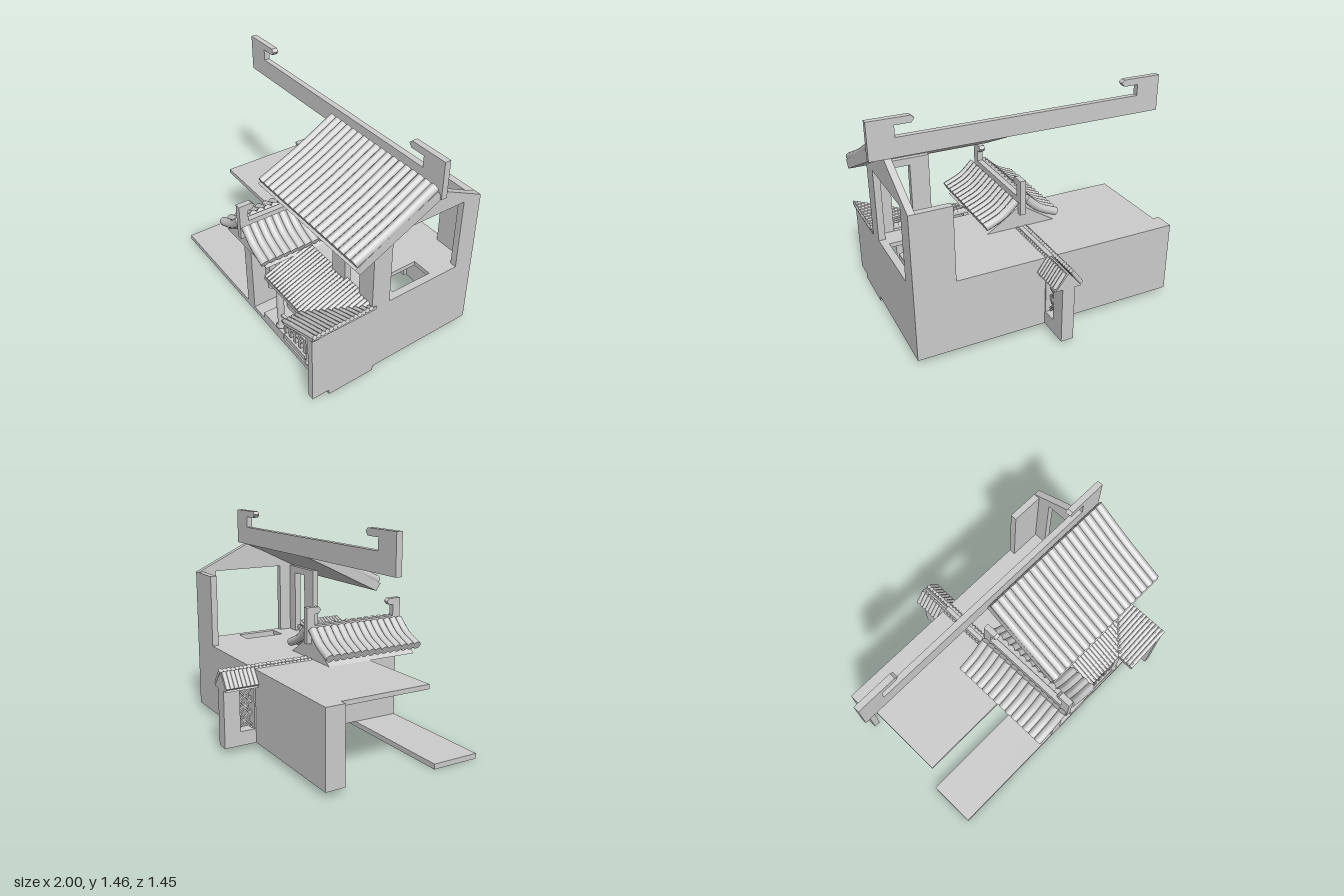
import * as THREE from 'three';

const material = new THREE.MeshStandardMaterial({ color: 0xcccccc, side: THREE.DoubleSide });

export function createModel() {
  const root = new THREE.Group();

  const add = (name, geo, parent = root) => {
    const m = new THREE.Mesh(geo, material);
    m.name = name;
    parent.add(m);
    return m;
  };
  const group = (name) => {
    const g = new THREE.Group();
    g.name = name;
    root.add(g);
    return g;
  };
  // Box given by its limits
  const box = (name, x0, x1, y0, y1, z0, z1, parent) =>
    add(name, new THREE.BoxGeometry(x1 - x0, y1 - y0, z1 - z0)
      .translate((x0 + x1) / 2, (y0 + y1) / 2, (z0 + z1) / 2), parent);
  const extrude = (pts, depth, holes = []) => {
    const v = (list) => list.map(([a, b]) => new THREE.Vector2(a, b));
    const s = new THREE.Shape(v(pts));
    holes.forEach((h) => s.holes.push(new THREE.Path(v(h))));
    return new THREE.ExtrudeGeometry(s, { depth, bevelEnabled: false });
  };
  const rect = (a0, a1, b0, b1) => [[a0, b0], [a1, b0], [a1, b1], [a0, b1]];
  // Profiles in z-y, x-y and x-z, pushed along the remaining axis
  const alongX = (pts, x0, x1, holes) => extrude(pts, x1 - x0, holes).rotateY(-Math.PI / 2).translate(x1, 0, 0);
  const alongZ = (pts, z0, z1, holes) => extrude(pts, z1 - z0, holes).translate(0, 0, z0);
  const alongY = (pts, y0, y1, holes) => extrude(pts, y1 - y0, holes).rotateX(Math.PI / 2).translate(0, y1, 0);

  // Round tile bent along a curve in the z-y plane (axis 'x') or x-y plane (axis 'z')
  const tile = (axis, at, pts, r, parent) => {
    const curve = new THREE.SplineCurve(pts.map(([a, b]) => new THREE.Vector2(a, b)));
    const geo = new THREE.CylinderGeometry(r, r, 1, 12, pts.length > 2 ? 8 : 1);
    const p = geo.attributes.position;
    for (let i = 0; i < p.count; i++) {
      const t = p.getY(i) + 0.5, s = p.getX(i), n = p.getZ(i);
      const c = curve.getPoint(t), d = curve.getTangent(t);
      if (axis === 'x') p.setXYZ(i, at + s, c.y + n * -d.x * -1 * -1 + 0, c.x + n * d.y);
      else p.setXYZ(i, c.x - n * d.y, c.y + n * d.x, at + s);
    }
    geo.computeVertexNormals();
    return add('roofTile', geo, parent);
  };

  // Ridge board outline with a hook rising at each end
  const ridge = (a, b, y0, yMid, yTop, post, hook) => {
    const end = (o, s) => [[o, y0], [o, yTop], [o + s * (hook - 0.02), yTop], [o + s * hook, yTop - 0.02],
      [o + s * (hook - 0.02), yTop - 0.045], [o + s * post, yTop - 0.045], [o + s * post, yMid]];
    return [...end(a, 1), ...end(b, -1).reverse()];
  };

  // Floors and ground-level walls
  box('frontFloor', -0.91, 0.91, 0, 0.035, 0.27, 0.6);
  add('upperFloor', alongY(rect(-0.865, 0.87, -0.46, 0.247), 0.5, 0.53, [rect(0.725, 0.86, -0.19, 0.1)]));
  box('backWall', -0.91, 0.91, 0.035, 0.53, -0.5, -0.455);
  box('leftWallStub', -0.91, -0.865, 0.035, 0.53, -0.455, -0.37);

  // Right wall with its gable and large upper opening
  add('rightGableWall', alongX([[0.72, 0.035], [0.72, 0.515], [0.295, 0.52], [0.295, 1.03], [-0.11, 1.215],
    [-0.5, 1.03], [-0.5, 0.035]], 0.865, 0.91, [rect(-0.365, 0.165, 0.53, 1.03)]));
  box('upperBackWall', 0.64, 0.91, 0.53, 1.03, -0.5, -0.455);
  add('upperFrontWall', alongZ(rect(0.51, 0.91, 0.5, 1.03), 0.25, 0.295, [rect(0.64, 0.78, 0.53, 0.98)]));

  // Main roof: front slope only, with a long hooked ridge
  const mainRoof = group('mainRoof');
  add('roofDeck', alongX([[0.46, 0.94], [0.495, 0.99], [-0.06, 1.275], [-0.1, 1.215]], 0, 0.99), mainRoof);
  for (let i = 0; i < 18; i++) {
    tile('x', 0.0275 + i * 0.055, [[0.485, 1.012], [0.21, 1.142], [-0.06, 1.293]], 0.029, mainRoof);
  }
  add('mainRidge', alongZ(ridge(-1, 1, 1.215, 1.34, 1.46, 0.167, 0.29), -0.12, -0.08), mainRoof);

  // Small gabled roof running from front to back
  const gateRoof = group('gateRoof');
  add('gable', alongZ([[-0.245, 0.53], [0.245, 0.53], [0.12, 0.61], [0, 0.69], [-0.12, 0.61]], -0.07, 0.61), gateRoof);
  add('gateRidge', alongX(ridge(-0.105, 0.65, 0.635, 0.755, 0.88, 0.06, 0.11), -0.02, 0.02), gateRoof);
  for (const s of [-1, 1]) {
    for (let i = 0; i < 14; i++) {
      tile('z', -0.072 + i * 0.0535,
        [[s * 0.037, 0.735], [s * 0.135, 0.646], [s * 0.262, 0.588]], 0.029, gateRoof);
    }
  }

  // Middle wall, reaching out at the back with a lattice window
  const middleWall = group('middleWall');
  add('wall', alongX([[-0.72, 0.035], [0.6, 0.035], [0.6, 0.54], [-0.455, 0.5], [-0.5, 0.43], [-0.72, 0.43]],
    -0.045, 0.04, [rect(-0.61, -0.51, 0.13, 0.41)]), middleWall);
  const lattice = (z0, y0, z1, y1) => {
    const bar = add('latticeBar', new THREE.BoxGeometry(0.02, 0.01, Math.hypot(z1 - z0, y1 - y0)), middleWall);
    bar.position.set(0, (y0 + y1) / 2, (z0 + z1) / 2);
    bar.rotation.x = -Math.atan2(y1 - y0, z1 - z0);
  };
  for (const y of [0.13, 0.15, 0.22, 0.24, 0.3]) {
    lattice(-0.61, y, -0.51, y + 0.1);
    lattice(-0.61, y + 0.1, -0.51, y);
  }
  add('copingCore', alongZ([[-0.09, 0.42], [0.09, 0.42], [0, 0.53]], -0.72, -0.08), middleWall);
  for (let i = 0; i < 23; i++) {
    for (const s of [-1, 1]) tile('z', -0.706 + i * 0.028, [[s * 0.022, 0.535], [s * 0.092, 0.437]], 0.0145, middleWall);
  }

  // Porch roof: two slopes meeting in a valley
  const porch = group('porchRoof');
  const frontY = (z) => 0.425 + (0.6 - z) * 0.4;
  const sideY = (x) => 0.43 + (x - 0.61) * 0.4;
  const deck = (pts, height) => {
    const geo = alongY(pts, -0.025, 0);
    const p = geo.attributes.position;
    for (let i = 0; i < p.count; i++) p.setY(i, p.getY(i) + height(p.getX(i), p.getZ(i)));
    geo.computeVertexNormals();
    add('porchDeck', geo, porch);
  };
  deck([[0.2, 0.6], [0.61, 0.6], [0.91, 0.3], [0.91, 0.27], [0.2, 0.27]], (x, z) => frontY(z));
  deck([[0.61, 0.6], [0.61, 0.72], [0.92, 0.72], [0.92, 0.27]], (x) => sideY(x));
  for (let x = 0.215; x < 0.88; x += 0.0285) {
    const z = Math.min(0.6, 1.21 - x);
    tile('x', x, [[z, frontY(z) + 0.006], [0.27, frontY(0.27) + 0.006]], 0.0145, porch);
  }
  for (let z = 0.285; z < 0.715; z += 0.0284) {
    const x = Math.max(0.61, 1.21 - z);
    tile('z', z, [[x, sideY(x) + 0.006], [0.925, sideY(0.925) + 0.006]], 0.0145, porch);
  }

  // Porch columns with a swelling shaft
  for (const [x, y0, y1] of [[0.33, 0.08, 0.42], [0.66, 0.035, 0.435]]) {
    const h = y1 - y0;
    const profile = [[0, 0], [0.032, 0], [0.032, 0.012], [0.02, 0.025], [0.025, h * 0.5], [0.02, h], [0, h]];
    add('porchColumn', new THREE.LatheGeometry(profile.map(([r, y]) => new THREE.Vector2(r, y)), 20)
      .translate(x, y0, 0.57));
  }

  // Balustrade and step between the columns
  const rail = group('balustrade');
  box('rail', 0.35, 0.64, 0.185, 0.2, 0.56, 0.58, rail);
  box('rail', 0.35, 0.64, 0.14, 0.152, 0.56, 0.58, rail);
  for (let i = 0; i < 5; i++) box('baluster', 0.38 + i * 0.055, 0.405 + i * 0.055, 0.08, 0.19, 0.56, 0.58, rail);
  box('porchPlatform', 0.165, 0.4, 0.035, 0.08, 0.5, 0.6);
  box('bench', 0.4, 0.63, 0.035, 0.07, 0.53, 0.59);
  box('innerPlatform', 0.165, 0.45, 0.035, 0.165, 0.3, 0.42);

  // Indoor stair
  const stair = group('stair');
  for (let i = 0; i < 6; i++) {
    box('step', 0.46 + i * 0.05, 0.51 + i * 0.05, 0.035 + i * 0.03, 0.1 + i * 0.05, 0.12, 0.25, stair);
  }

  // Hanging lantern and door panels
  box('lanternBracket', 0.125, 0.18, 0.37, 0.53, 0.5, 0.55);
  add('lantern', new THREE.CylinderGeometry(0.028, 0.028, 0.1, 6).translate(0.152, 0.32, 0.525));
  for (const [x0, x1] of [[-0.2, -0.05], [0.04, 0.17], [0.25, 0.38]]) {
    box('doorPanel', x0, x1, 0.04, 0.38, -0.455, -0.43);
  }
  return root;
}
